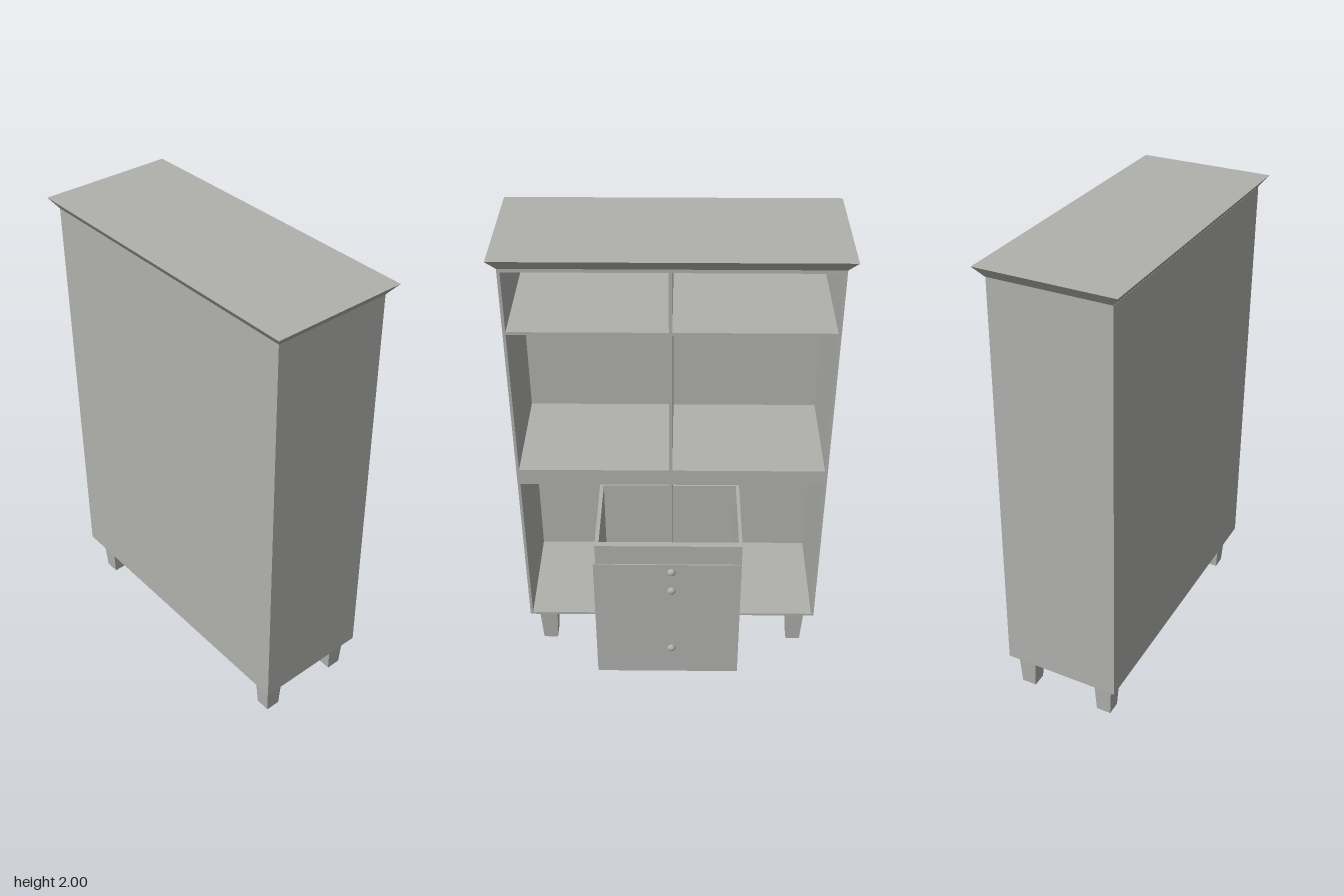
import * as THREE from 'three';

export function createModel() {
  const model = new THREE.Group();
  const grey = new THREE.MeshStandardMaterial({ color: 0xb0b0ad });
  grey.name = 'grey';

  const add = (parent, name, geometry) => {
    const mesh = new THREE.Mesh(geometry, grey);
    mesh.name = name;
    parent.add(mesh);
    return mesh;
  };
  // Box given by its limits on each axis
  const slab = (parent, name, x0, x1, y0, y1, z0, z1) => {
    const mesh = add(parent, name, new THREE.BoxGeometry(x1 - x0, y1 - y0, z1 - z0));
    mesh.position.set((x0 + x1) / 2, (y0 + y1) / 2, (z0 + z1) / 2);
    return mesh;
  };
  // Box whose lower end is scaled in x and z
  const tapered = (w, h, d, sx, sz) => {
    const g = new THREE.BoxGeometry(w, h, d);
    const p = g.attributes.position;
    for (let i = 0; i < p.count; i++) {
      if (p.getY(i) < 0) {
        p.setX(i, p.getX(i) * sx);
        p.setZ(i, p.getZ(i) * sz);
      }
    }
    g.computeVertexNormals();
    return g;
  };

  // Cabinet shell, open towards +x
  const cabinet = new THREE.Group();
  cabinet.name = 'cabinet';
  model.add(cabinet);
  const back = -0.34, front = 0.17, inner = -0.328, half = 0.655;
  slab(cabinet, 'backPanel', back, inner, 0.175, 1.955, -half, half);
  slab(cabinet, 'leftSide', inner, front, 0.175, 1.955, -half, -0.643);
  slab(cabinet, 'rightSide', inner, front, 0.175, 1.955, 0.643, half);

  // Bottom, thick middle shelf, upper shelf and top
  const levels = [
    ['bottomPanel', 0.175, 0.187],
    ['middleShelf', 0.94, 1.015],
    ['upperShelf', 1.67, 1.683],
    ['topPanel', 1.94, 1.955],
  ];
  for (const [name, y0, y1] of levels) {
    slab(cabinet, name, inner, front, y0, y1, -0.643, 0.643);
  }
  // Upright divider between neighbouring levels
  for (let i = 0; i < 3; i++) {
    slab(cabinet, 'divider', inner, front, levels[i][2], levels[i + 1][1], -0.002, 0.012);
  }

  // Flared crown
  const crown = add(cabinet, 'crown', tapered(0.578, 0.045, 1.38, 0.51 / 0.578, 1.31 / 1.38));
  crown.position.set(-0.084, 1.9775, 0);

  // Tapered legs
  for (const x of [-0.262, 0.11]) {
    for (const z of [-0.57, 0.573]) {
      const leg = add(cabinet, 'leg', tapered(0.084, 0.175, 0.082, 0.77, 0.78));
      leg.position.set(x, 0.0875, z);
    }
  }

  // Open-topped chest pulled out of the lower compartment
  const chest = new THREE.Group();
  chest.name = 'chest';
  model.add(chest);
  const x0 = -0.08, x1 = 0.322, zIn0 = -0.285, zIn1 = 0.309;
  slab(chest, 'chestFloor', x0, 0.355, 0, 0.015, -0.3, 0.336);
  for (const [y0, y1, xOut, zOut] of [[0.015, 0.65, 0.355, 0.336], [0.65, 0.75, 0.35, 0.326]]) {
    slab(chest, 'chestFront', x1, xOut, y0, y1, -0.3, zOut);
    slab(chest, 'chestBack', x0, x0 + 0.015, y0, y1, -0.3, zOut);
    slab(chest, 'chestLeftSide', x0 + 0.015, x1, y0, y1, -0.3, zIn0);
    slab(chest, 'chestRightSide', x0 + 0.015, x1, y0, y1, zIn1, zOut);
  }

  // Round knobs down the chest front
  for (const y of [0.153, 0.503, 0.61]) {
    const knob = add(chest, 'knob', new THREE.SphereGeometry(0.018, 20, 14));
    knob.scale.x = 0.7;
    knob.position.set(0.358, y, 0);
  }

  return model;
}
